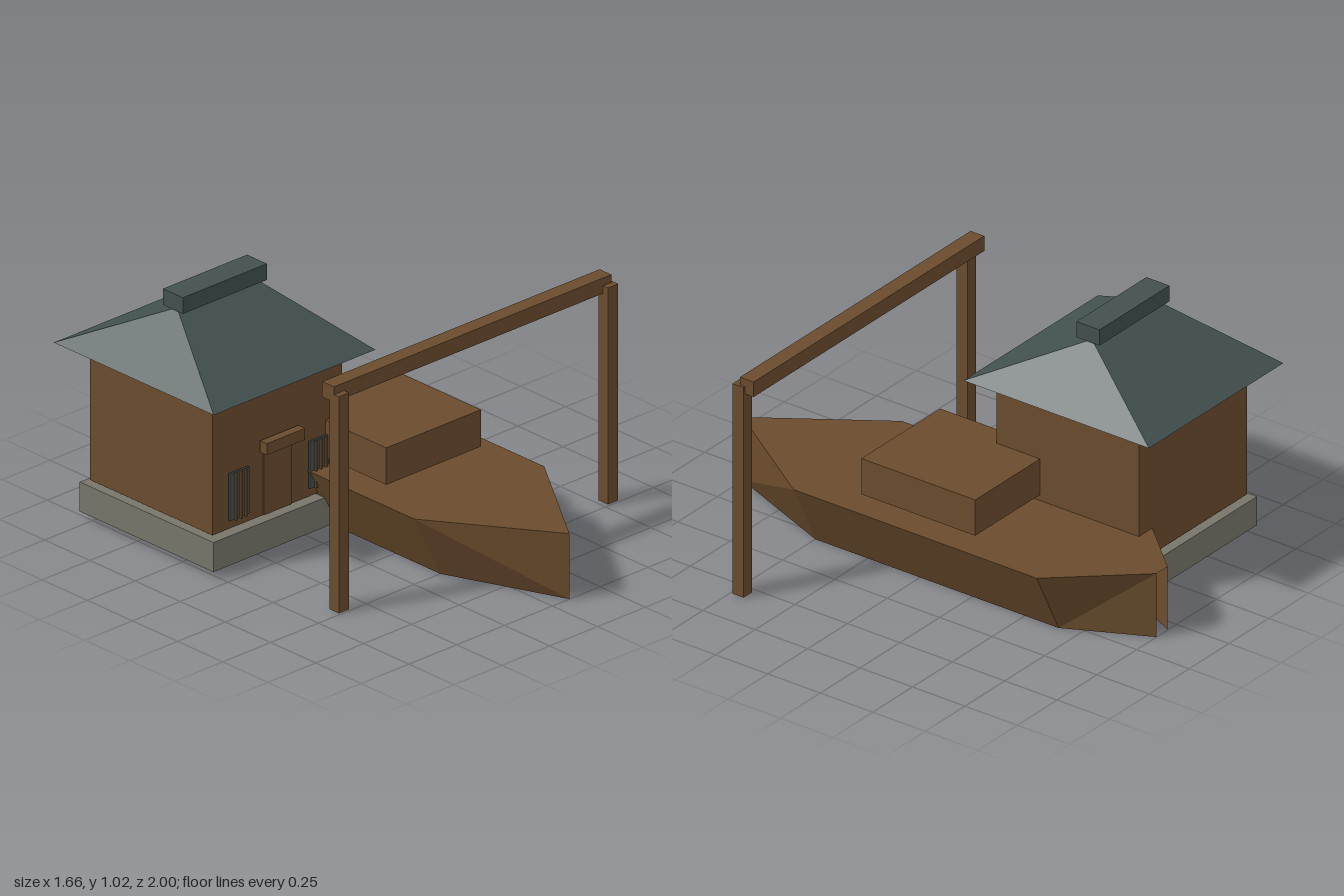
import * as THREE from 'three';

const mat = (name, color, extra = {}) => {
  const m = new THREE.MeshStandardMaterial({ color, ...extra });
  m.name = name;
  return m;
};

// Box given by its limits on each axis; an open box has no underside
function box(parent, name, material, [x0, x1], [y0, y1], [z0, z1], open = false) {
  const g = new THREE.BoxGeometry(x1 - x0, y1 - y0, z1 - z0);
  if (open) {
    const index = Array.from(g.index.array);
    index.splice(18, 6);
    g.setIndex(index);
    g.clearGroups();
  }
  const mesh = new THREE.Mesh(g, material);
  mesh.name = name;
  mesh.position.set((x0 + x1) / 2, (y0 + y1) / 2, (z0 + z1) / 2);
  parent.add(mesh);
  return mesh;
}

// Flat-faced shell from convex polygons, corners counter-clockwise from outside
function shell(parent, name, material, polygons) {
  const pos = [];
  for (const p of polygons)
    for (let i = 1; i < p.length - 1; i++) pos.push(...p[0], ...p[i], ...p[i + 1]);
  const g = new THREE.BufferGeometry();
  g.setAttribute('position', new THREE.Float32BufferAttribute(pos, 3));
  g.computeVertexNormals();
  const mesh = new THREE.Mesh(g, material);
  mesh.name = name;
  parent.add(mesh);
  return mesh;
}

export function createModel() {
  const wood = mat('brown wood', 0x6b4c2d, { side: THREE.DoubleSide });
  const slate = mat('dark slate', 0x435050, { side: THREE.DoubleSide });
  const stone = mat('grey stone', 0x77756a, { side: THREE.DoubleSide });

  const model = new THREE.Group();
  model.name = 'boathouse';
  const group = (name) => {
    const g = new THREE.Group();
    g.name = name;
    model.add(g);
    return g;
  };

  // House: stone base, walls, door and lintel
  const house = group('house');
  box(house, 'stoneBase', stone, [-0.77, -0.04], [0.028, 0.152], [-0.8, -0.06], true);
  box(house, 'walls', wood, [-0.745, -0.067], [0.163, 0.73], [-0.77, -0.092]);
  box(house, 'door', wood, [-0.48, -0.333], [0.163, 0.44], [-0.094, -0.088]);
  box(house, 'lintel', wood, [-0.507, -0.307], [0.44, 0.488], [-0.08, -0.043]);

  // Barred windows
  for (const x of [-0.617, -0.2]) {
    box(house, 'windowPane', slate, [x - 0.05, x + 0.05], [0.203, 0.4], [-0.085, -0.076]);
    for (const dx of [-0.026, 0, 0.026])
      box(house, 'windowBar', wood, [x + dx - 0.005, x + dx + 0.005], [0.203, 0.4], [-0.072, -0.063]);
  }

  // Hipped roof, open beneath, with a ridge cap
  const eave = [[-0.83, 0.73, 0.005], [0.015, 0.73, 0.005], [0.015, 0.73, -0.88], [-0.83, 0.73, -0.88]];
  const ridge = [[-0.605, 0.957, -0.437], [-0.21, 0.957, -0.437]];
  shell(house, 'roof', slate, [
    [eave[0], eave[1], ridge[1], ridge[0]],
    [eave[1], eave[2], ridge[1]],
    [eave[2], eave[3], ridge[0], ridge[1]],
    [eave[3], eave[0], ridge[0]],
  ]);
  box(house, 'ridgeCap', slate, [-0.628, -0.188], [0.957, 1.025], [-0.49, -0.38]);

  // Boat hull: deck and flared sides, open beneath and at the stern
  const boat = group('boat');
  const cx = 0.09, top = 0.275, zBow = 0.5, zStern = -0.66;
  const bowTop = [cx, top, 1], bowFoot = [cx, 0, 1];
  const rim = (s) => [[cx + s * 0.34, top, zBow], [cx + s * 0.34, top, zStern], [cx + s * 0.035, top, -1]];
  const foot = (s) => [[cx + s * 0.203, 0, zBow], [cx + s * 0.203, 0, zStern], [cx + s * 0.035, 0, -1]];
  const faces = [[bowTop, ...rim(1), ...rim(-1).reverse()]];
  for (const s of [1, -1]) {
    const [a, b, c] = rim(s), [d, e, f] = foot(s);
    const side = [[bowFoot, a, bowTop], [bowFoot, d, a], [d, e, b, a], [e, c, b], [e, f, c]];
    faces.push(...side.map((p) => (s > 0 ? p : p.reverse())));
  }
  shell(boat, 'hull', wood, faces);
  box(boat, 'cabin', wood, [-0.155, 0.34], [0.3, 0.455], [-0.298, 0.245]);

  // Gate: two posts and a crossbeam behind them
  const gate = group('gate');
  for (const x of [-0.607, 0.799])
    box(gate, 'gatePost', wood, [x - 0.027, x + 0.027], [0, 0.91], [0.438, 0.49]);
  box(gate, 'gateBeam', wood, [-0.634, 0.816], [0.878, 0.943], [0.398, 0.463]);

  return model;
}
